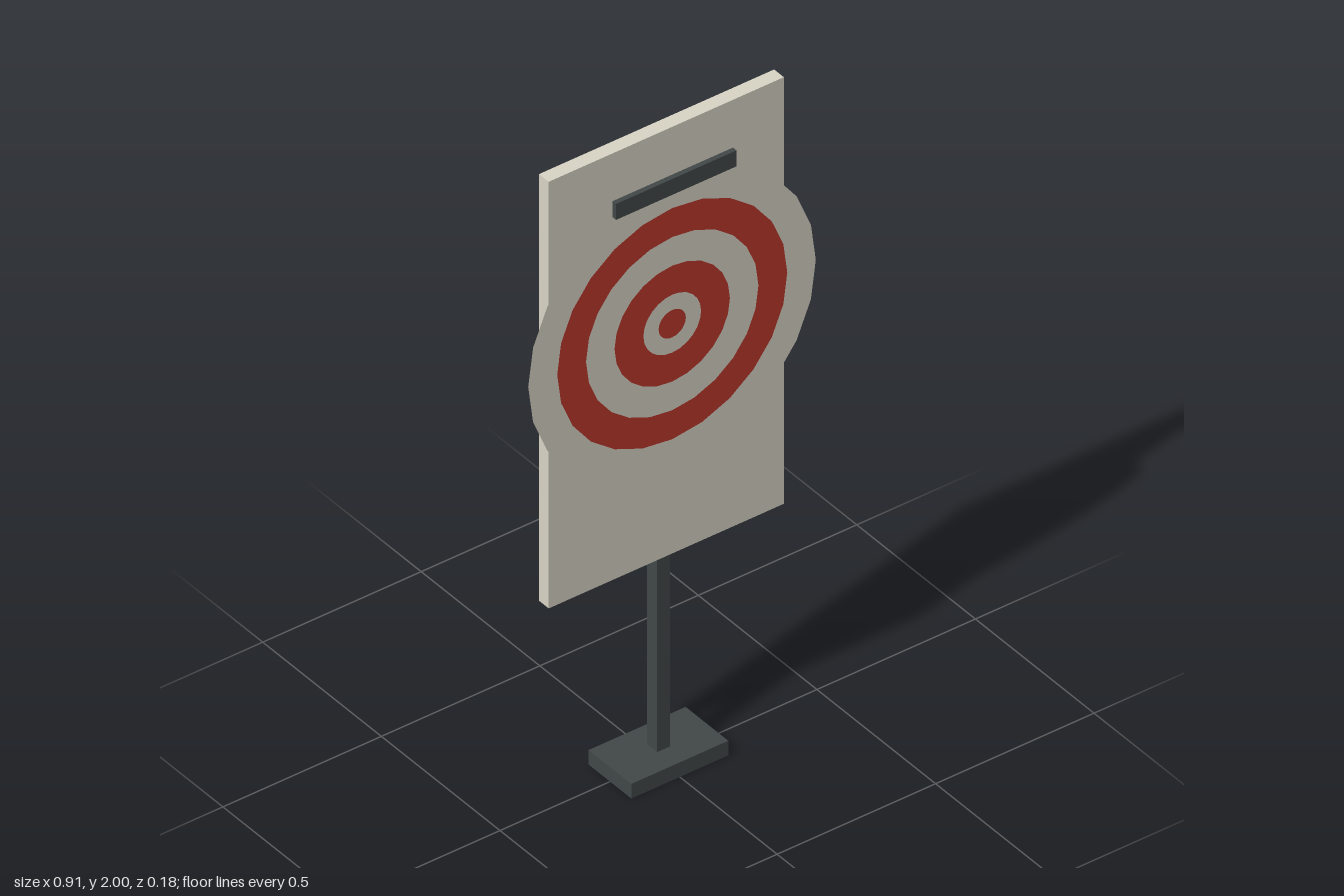
import * as THREE from 'three';

export function createModel() {
  const model = new THREE.Group();
  model.name = 'targetStand';

  const mat = (name, color) => {
    const m = new THREE.MeshStandardMaterial({ color, side: THREE.DoubleSide });
    m.name = name;
    return m;
  };
  const cream = mat('cream', 0xdad6c7);
  const red = mat('red', 0xbe382e);
  const dark = mat('dark grey', 0x424949);

  // Box given by its lower and upper limits; always centred on x
  const box = (name, width, [y0, y1], [z0, z1], material) => {
    const mesh = new THREE.Mesh(new THREE.BoxGeometry(width, y1 - y0, z1 - z0), material);
    mesh.position.set(0, (y0 + y1) / 2, (z0 + z1) / 2);
    mesh.name = name;
    model.add(mesh);
  };

  // Stand
  box('base', 0.306, [0, 0.046], [-0.09, 0.09], dark);
  box('post', 0.04, [0.046, 0.71], [-0.021, 0.021], dark);

  // Board with the mount behind the target face and the bar above it
  box('board', 0.742, [0.66, 2], [-0.008, 0.033], cream);
  box('targetMount', 0.57, [1.12, 1.69], [0.033, 0.055], dark);
  box('topBar', 0.38, [1.825, 1.875], [0.06, 0.075], dark);

  // Flat target face: rings alternating from the bullseye outwards
  const face = new THREE.Group();
  face.name = 'targetFace';
  face.position.set(0, 1.405, 0.058);
  const radii = [0, 0.043, 0.091, 0.182, 0.272, 0.363, 0.453];
  for (let i = 0; i < radii.length - 1; i++) {
    const geometry = i === 0
      ? new THREE.CircleGeometry(radii[1], 24)
      : new THREE.RingGeometry(radii[i], radii[i + 1], 24);
    const ring = new THREE.Mesh(geometry, i % 2 === 0 ? red : cream);
    ring.name = i === 0 ? 'bullseye' : 'ring' + i;
    face.add(ring);
  }
  // Plain cream back of the face
  const back = new THREE.Mesh(new THREE.CircleGeometry(0.453, 24), cream);
  back.name = 'faceBack';
  back.position.z = -0.002;
  face.add(back);
  model.add(face);

  return model;
}
